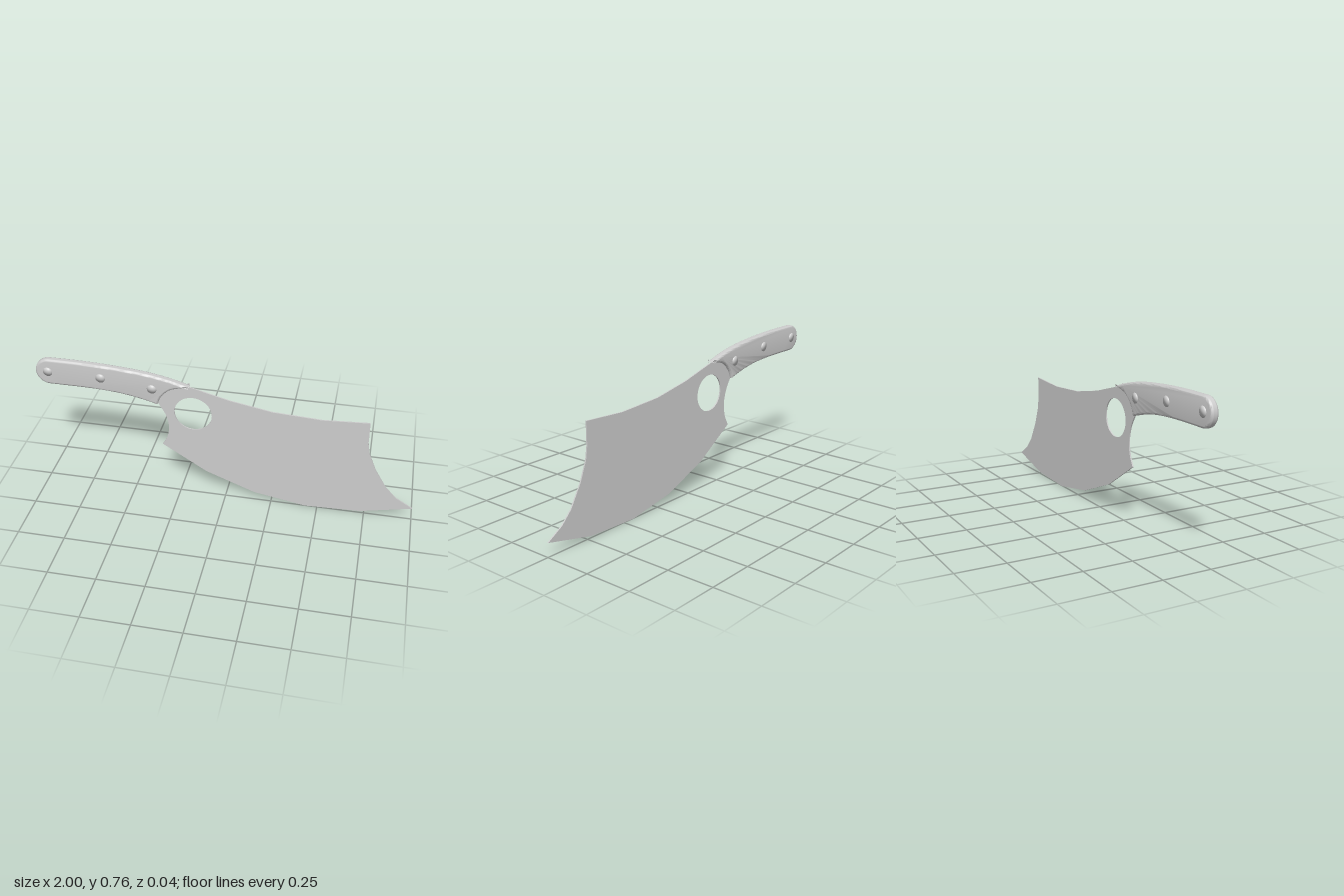
import * as THREE from 'three';
import { toCreasedNormals } from 'three/addons/utils/BufferGeometryUtils.js';

const steel = new THREE.MeshStandardMaterial({ color: 0xcccccc });
steel.name = 'grey steel';

const points = (list) => list.map(([x, y]) => new THREE.Vector2(x, y));

// Thin faceted blade with a round finger hole
function makeBlade() {
  const shape = new THREE.Shape(points([
    [-0.34, 0.305], [-0.104, 0.155], [0.158, 0.051], [0.436, 0.002], [0.73, 0.013], [0.998, 0.075],
    [0.91, 0.128], [0.85, 0.19], [0.785, 0.3], [0.745, 0.4], [0.734, 0.465], [0.733, 0.586],
    [0.495, 0.572], [0.243, 0.586], [0.024, 0.626], [-0.19, 0.683],
  ]));
  // Guard seat under the handle, then the concave heel
  shape.lineTo(-0.29, 0.68);
  shape.lineTo(-0.37, 0.6);
  shape.lineTo(-0.355, 0.566);
  shape.splineThru(points([[-0.318, 0.5], [-0.302, 0.43], [-0.312, 0.36], [-0.34, 0.305]]));
  const hole = new THREE.Path();
  hole.absarc(-0.171, 0.521, 0.099, 0, Math.PI * 2, true);
  shape.holes.push(hole);
  const geometry = new THREE.ExtrudeGeometry(shape, { depth: 0.007, bevelEnabled: false, curveSegments: 16 });
  geometry.translate(0, 0, -0.005);
  const blade = new THREE.Mesh(toCreasedNormals(geometry, 0.45), steel);
  blade.name = 'blade';
  return blade;
}

// Curved handle with a round butt, a scooped front end and rounded edges
function makeHandle() {
  const shape = new THREE.Shape();
  shape.moveTo(-0.355, 0.565);
  shape.splineThru(points([[-0.332, 0.615], [-0.28, 0.662], [-0.185, 0.687]]));
  shape.splineThru(points([[-0.29, 0.718], [-0.42, 0.742], [-0.58, 0.757], [-0.75, 0.765], [-0.925, 0.766]]));
  shape.absarc(-0.926, 0.693, 0.073, Math.PI / 2, Math.PI * 1.5, false);
  shape.splineThru(points([[-0.725, 0.619], [-0.58, 0.611], [-0.47, 0.594], [-0.355, 0.565]]));
  const bevel = 0.012;
  const geometry = new THREE.ExtrudeGeometry(shape, {
    depth: 0.04 - 2 * bevel, bevelThickness: bevel, bevelSize: bevel, bevelOffset: -bevel,
    bevelSegments: 5, curveSegments: 10,
  });
  geometry.translate(0, 0, bevel - 0.0195);
  const handle = new THREE.Mesh(toCreasedNormals(geometry, 0.7), steel);
  handle.name = 'handle';
  return handle;
}

// Low domed rivet head: a hemisphere flattened while keeping its rounded normals
function makeRivetGeometry() {
  const geometry = new THREE.SphereGeometry(0.027, 24, 8, 0, Math.PI * 2, 0, Math.PI / 2);
  geometry.rotateX(Math.PI / 2);
  const position = geometry.attributes.position;
  for (let i = 0; i < position.count; i++) position.setZ(i, position.getZ(i) * 0.08);
  return geometry;
}

export function createModel() {
  const model = new THREE.Group();
  model.name = 'cleaver';
  model.add(makeBlade(), makeHandle());

  // Three rivets on both sides of the handle
  const rivetGeometry = makeRivetGeometry();
  for (const [x, y] of [[-0.932, 0.695], [-0.65, 0.69], [-0.38, 0.658]]) {
    for (const side of [1, -1]) {
      const rivet = new THREE.Mesh(rivetGeometry, steel);
      rivet.name = side > 0 ? 'frontRivet' : 'backRivet';
      rivet.position.set(x, y, side * 0.0195 + 0.0003);
      if (side < 0) rivet.rotation.y = Math.PI;
      model.add(rivet);
    }
  }
  return model;
}
